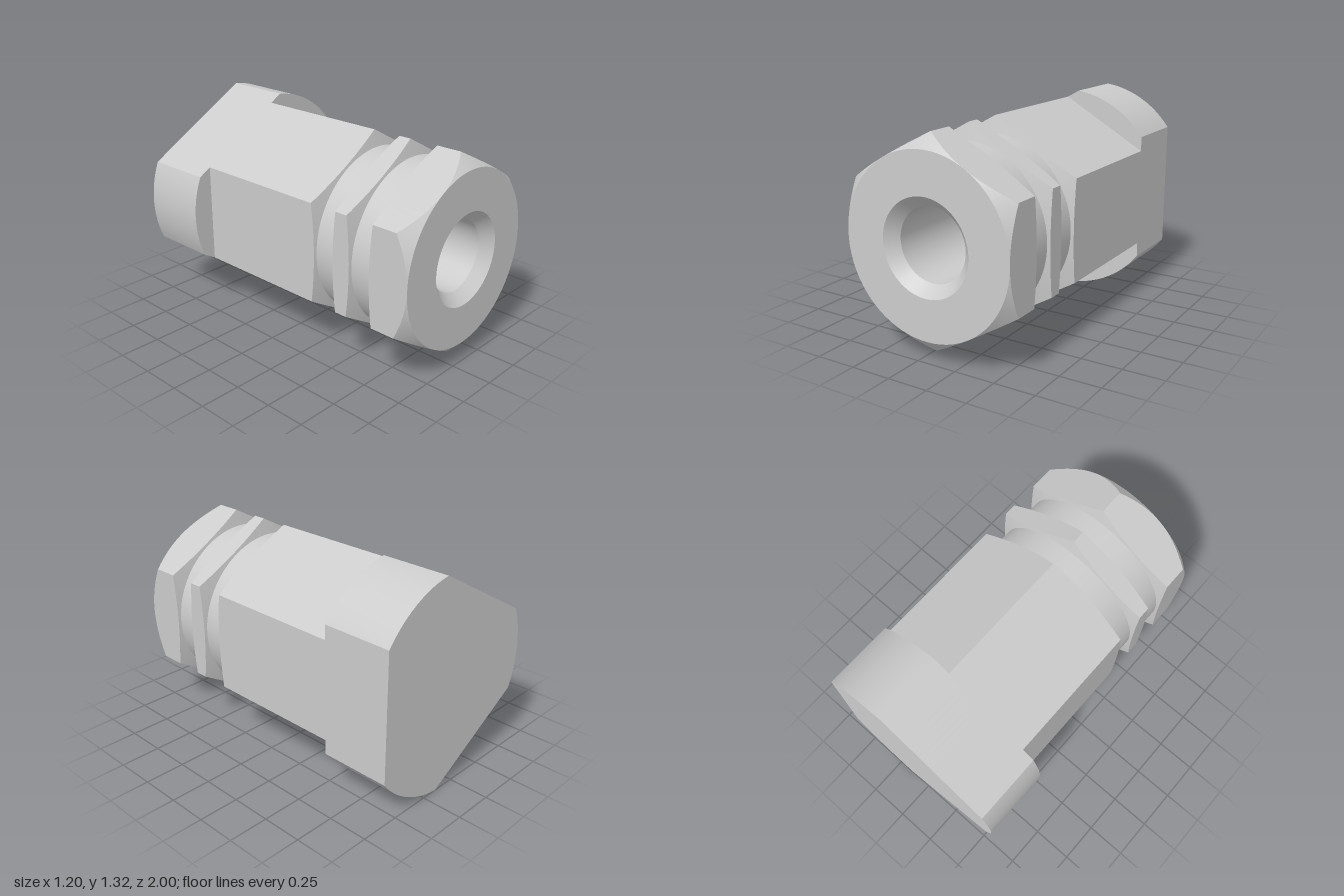
import * as THREE from 'three';
import { toCreasedNormals } from 'three/addons/utils/BufferGeometryUtils.js';

const AXIS_X = 0.067, AXIS_Y = 0.665;   // centre line of the part, along z
const APOTHEM = 0.533;                  // hexagon centre to flat
const FLANGE_R = 0.665, GROOVE_R = 0.516;

// Sample angles: even steps plus the exact ends of the flange flats
const flatEnd = Math.acos(APOTHEM / FLANGE_R);
const angles = [];
for (let i = 0; i < 96; i++) angles.push(i * Math.PI / 48);
for (let k = 0; k < 3; k++) {
  const mid = k * Math.PI * 2 / 3;
  angles.push(mid + flatEnd, (mid - flatEnd + Math.PI * 2) % (Math.PI * 2));
}
angles.sort((a, b) => a - b);

// Distance from the axis to a regular polygon with n flats, one facing +x
function polygonRadius(angle, n) {
  const step = Math.PI * 2 / n;
  return APOTHEM / Math.cos(angle - Math.round(angle / step) * step);
}
const hex = (a) => polygonRadius(a, 6);
const flange = (a) => Math.min(polygonRadius(a, 3), FLANGE_R);

// Skin a surface through rows of [radius, z]; either may depend on the angle
function skin(name, rows, material) {
  const value = (v, a) => (typeof v === 'function' ? v(a) : v);
  const point = ([r, z], a) => {
    const radius = value(r, a);
    return new THREE.Vector3(
      AXIS_X + radius * Math.cos(a), AXIS_Y + radius * Math.sin(a), value(z, a));
  };
  const positions = [];
  const addTriangle = (a, b, c) => {
    const area = b.clone().sub(a).cross(c.clone().sub(a)).length();
    if (area > 1e-8) for (const p of [a, b, c]) positions.push(p.x, p.y, p.z);
  };
  for (let i = 0; i < rows.length - 1; i++) {
    for (let j = 0; j < angles.length; j++) {
      const a0 = angles[j], a1 = angles[(j + 1) % angles.length];
      const p = point(rows[i], a0), q = point(rows[i + 1], a0);
      const r = point(rows[i + 1], a1), s = point(rows[i], a1);
      addTriangle(p, q, s);
      addTriangle(q, r, s);
    }
  }
  const geometry = new THREE.BufferGeometry();
  geometry.setAttribute('position', new THREE.Float32BufferAttribute(positions, 3));
  const mesh = new THREE.Mesh(toCreasedNormals(geometry, 0.3), material);
  mesh.name = name;
  return mesh;
}

// Shallow cone where a hexagon end meets a groove; dir is +1 towards the front
const shoulder = (z, dir) => (a) => z + dir * (hex(a) - GROOVE_R) * 0.25;

export function createModel() {
  const group = new THREE.Group();
  group.name = 'hexFitting';
  const material = new THREE.MeshStandardMaterial({ color: 0xcccccc });
  const add = (name, rows) => group.add(skin(name, rows, material));

  // Blind drilled hole with a countersunk mouth
  add('bore', [[0, -0.13], [0.217, 0], [0.217, 0.93], [0.283, 1]]);

  // Chamfered hexagon at the front
  add('frontHexagon', [
    [0.283, 1], [APOTHEM, 1], [hex, (a) => 1 - (hex(a) - APOTHEM)],
    [hex, shoulder(0.735, 1)], [GROOVE_R, 0.735],
  ]);

  // Two round grooves either side of a thin hexagonal rib
  add('frontGroove', [[GROOVE_R, 0.735], [GROOVE_R, 0.6]]);
  add('hexagonRib', [
    [GROOVE_R, 0.6], [hex, shoulder(0.6, -1)], [hex, shoulder(0.47, 1)], [GROOVE_R, 0.47],
  ]);
  add('rearGroove', [[GROOVE_R, 0.47], [GROOVE_R, 0.335]]);

  // Long hexagonal body
  add('hexagonBody', [[GROOVE_R, 0.335], [hex, shoulder(0.335, -1)], [hex, -0.565]]);

  // Rear flange: a disc trimmed by three flats flush with the body
  add('rearFlange', [[hex, -0.565], [flange, -0.565], [flange, -1], [0, -1]]);

  return group;
}
